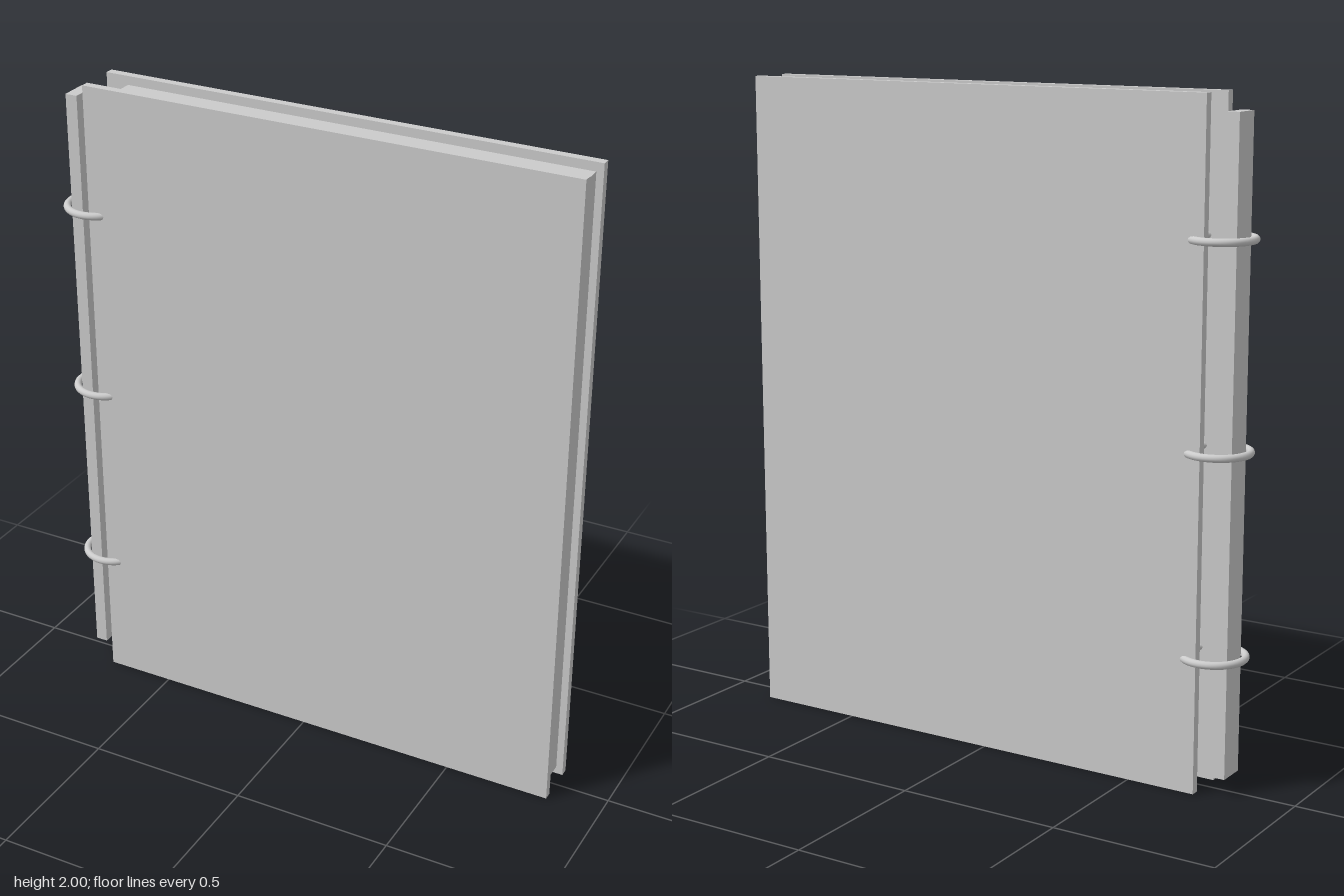
import * as THREE from 'three';

export function createModel() {
  const group = new THREE.Group();
  group.name = 'ringBinder';
  const material = new THREE.MeshStandardMaterial({ color: 0xcccccc });

  const add = (name, geometry, x, y, z) => {
    const mesh = new THREE.Mesh(geometry, material);
    mesh.name = name;
    mesh.position.set(x, y, z);
    group.add(mesh);
    return mesh;
  };

  // Front and back cover boards
  for (const [name, side] of [['frontCover', 1], ['backCover', -1]]) {
    add(name, new THREE.BoxGeometry(1.545, 2, 0.026), 0.058, 1, side * 0.065);
  }

  // Page block, set in from the cover edges
  add('pages', new THREE.BoxGeometry(1.45, 1.948, 0.098), 0.085, 1, 0);

  // Spine strip held inside the rings
  add('spine', new THREE.BoxGeometry(0.038, 1.9, 0.088), -0.778, 1, 0);

  // Binding rings, lying flat
  const ring = new THREE.TorusGeometry(0.092, 0.0115, 12, 48).rotateX(Math.PI / 2);
  for (const y of [0.4, 1, 1.6]) add('bindingRing', ring, -0.732, y, 0);

  return group;
}
